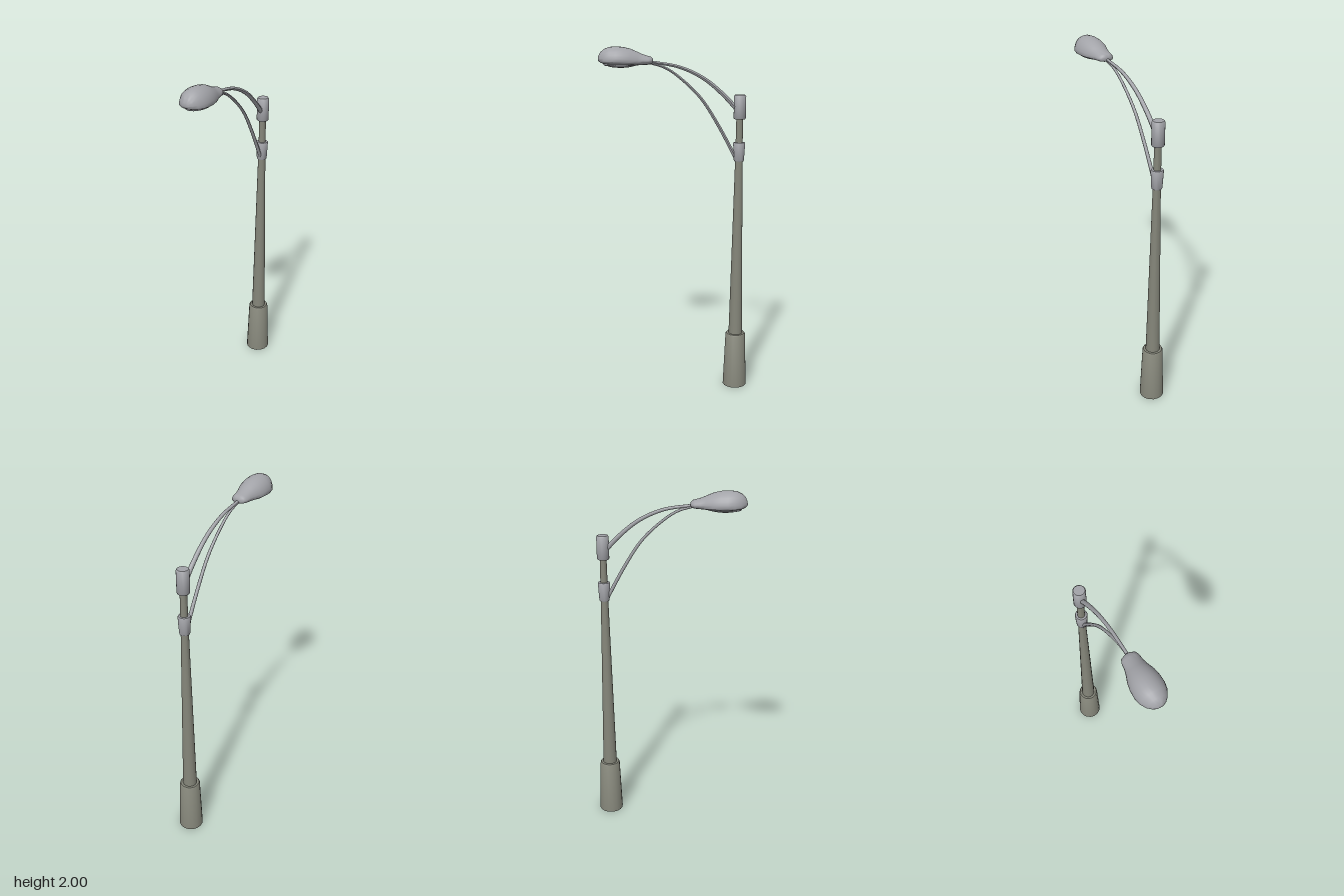
import * as THREE from 'three';
import { toCreasedNormals } from 'three/addons/utils/BufferGeometryUtils.js';

const POLE_Z = -0.355;
const CREASE = 0.7;

const poleGrey = new THREE.MeshStandardMaterial({ color: 0x85867a });
poleGrey.name = 'warm grey pole';
const metalGrey = new THREE.MeshStandardMaterial({ color: 0xa2a3a8 });
metalGrey.name = 'light grey metal';

function addMesh(group, name, geometry, material) {
  const mesh = new THREE.Mesh(geometry, material);
  mesh.name = name;
  group.add(mesh);
  return mesh;
}

// Turned part around the pole axis, from [radius, height] pairs
function turned(profile, sides) {
  const points = profile.map(([r, y]) => new THREE.Vector2(r, y));
  const geometry = new THREE.LatheGeometry(points, sides);
  return toCreasedNormals(geometry, CREASE).translate(0, 0, POLE_Z);
}

// Curved arm in the x = 0 plane through [z, y] points, thinner toward the lamp
function taperedArm(path, startRadius, endRadius) {
  const curve = new THREE.CatmullRomCurve3(path.map(([z, y]) => new THREE.Vector3(0, y, z)));
  const rings = 28, sides = 10;
  const geometry = new THREE.TubeGeometry(curve, rings, 1, sides, false);
  const position = geometry.attributes.position;
  const v = new THREE.Vector3();
  for (let i = 0; i <= rings; i++) {
    const centre = curve.getPointAt(i / rings);
    const radius = THREE.MathUtils.lerp(startRadius, endRadius, i / rings);
    for (let j = 0; j <= sides; j++) {
      const k = i * (sides + 1) + j;
      v.fromBufferAttribute(position, k).sub(centre).multiplyScalar(radius).add(centre);
      position.setXYZ(k, v.x, v.y, v.z);
    }
  }
  geometry.computeVertexNormals();
  return geometry;
}

// Loft of domed sections: [z, half width, top, seam, bottom]
function lampShell(stations) {
  const sides = 28, vertices = [], indices = [];
  for (const [z, w, top, seam, bottom] of stations) {
    for (let j = 0; j < sides; j++) {
      const a = (j / sides) * Math.PI * 2;
      const s = Math.sin(a);
      vertices.push(w * Math.cos(a), seam + (s > 0 ? top - seam : seam - bottom) * s, z);
    }
  }
  for (let i = 0; i < stations.length - 1; i++) {
    for (let j = 0; j < sides; j++) {
      const a = i * sides + j, b = i * sides + (j + 1) % sides;
      indices.push(a, b, a + sides, b, b + sides, a + sides);
    }
  }
  const geometry = new THREE.BufferGeometry();
  geometry.setAttribute('position', new THREE.Float32BufferAttribute(vertices, 3));
  geometry.setIndex(indices);
  return toCreasedNormals(geometry, 0.95);
}

export function createModel() {
  const model = new THREE.Group();
  model.name = 'streetLamp';

  // Base sleeve and tapering pole
  addMesh(model, 'base', turned(
    [[0, 0], [0.071, 0], [0.059, 0.322], [0.054, 0.33], [0, 0.33]], 16), poleGrey);
  addMesh(model, 'pole', turned(
    [[0, 0.32], [0.041, 0.32], [0.021, 1.38], [0.018, 1.7], [0, 1.7]], 16), poleGrey);

  // Collars that hold the arms
  addMesh(model, 'lowerCollar', turned(
    [[0, 1.368], [0.027, 1.368], [0.029, 1.373], [0.034, 1.468], [0.031, 1.474], [0, 1.474]], 20), metalGrey);
  addMesh(model, 'upperCollar', turned(
    [[0, 1.605], [0.031, 1.605], [0.034, 1.61], [0.034, 1.731], [0.029, 1.738], [0, 1.738]], 20), metalGrey);

  // Two arms that meet at the lamp neck
  addMesh(model, 'upperArm', taperedArm(
    [[-0.345, 1.652], [-0.257, 1.743], [-0.151, 1.828], [-0.019, 1.889], [0.15, 1.92]], 0.0135, 0.0075), metalGrey);
  addMesh(model, 'lowerArm', taperedArm(
    [[-0.345, 1.37], [-0.23, 1.579], [-0.135, 1.722], [-0.019, 1.833], [0.061, 1.886], [0.15, 1.914]], 0.0105, 0.0065), metalGrey);

  // Lamp head with its neck
  addMesh(model, 'lampShell', lampShell([
    [0.129, 0, 1.923, 1.923, 1.923],
    [0.129, 0.020, 1.937, 1.922, 1.911],
    [0.138, 0.038, 1.945, 1.920, 1.906],
    [0.155, 0.046, 1.950, 1.919, 1.903],
    [0.185, 0.049, 1.959, 1.918, 1.901],
    [0.215, 0.057, 1.973, 1.917, 1.900],
    [0.250, 0.070, 1.988, 1.917, 1.900],
    [0.290, 0.077, 1.997, 1.917, 1.900],
    [0.330, 0.078, 2.000, 1.918, 1.901],
    [0.365, 0.071, 1.997, 1.920, 1.903],
    [0.395, 0.054, 1.984, 1.923, 1.908],
    [0.412, 0.036, 1.968, 1.926, 1.915],
    [0.422, 0.018, 1.949, 1.929, 1.923],
    [0.425, 0, 1.932, 1.932, 1.932],
  ]), metalGrey);

  // Bulging lens and its surrounding ring under the head
  const lens = addMesh(model, 'lens', new THREE.SphereGeometry(1, 24, 14), metalGrey);
  lens.scale.set(0.048, 0.017, 0.08);
  lens.position.set(0, 1.904, 0.302);
  const ring = addMesh(model, 'lensRing', new THREE.TorusGeometry(1, 0.08, 8, 32).rotateX(Math.PI / 2), metalGrey);
  ring.scale.set(0.053, 0.07, 0.086);
  ring.position.set(0, 1.904, 0.302);

  return model;
}
